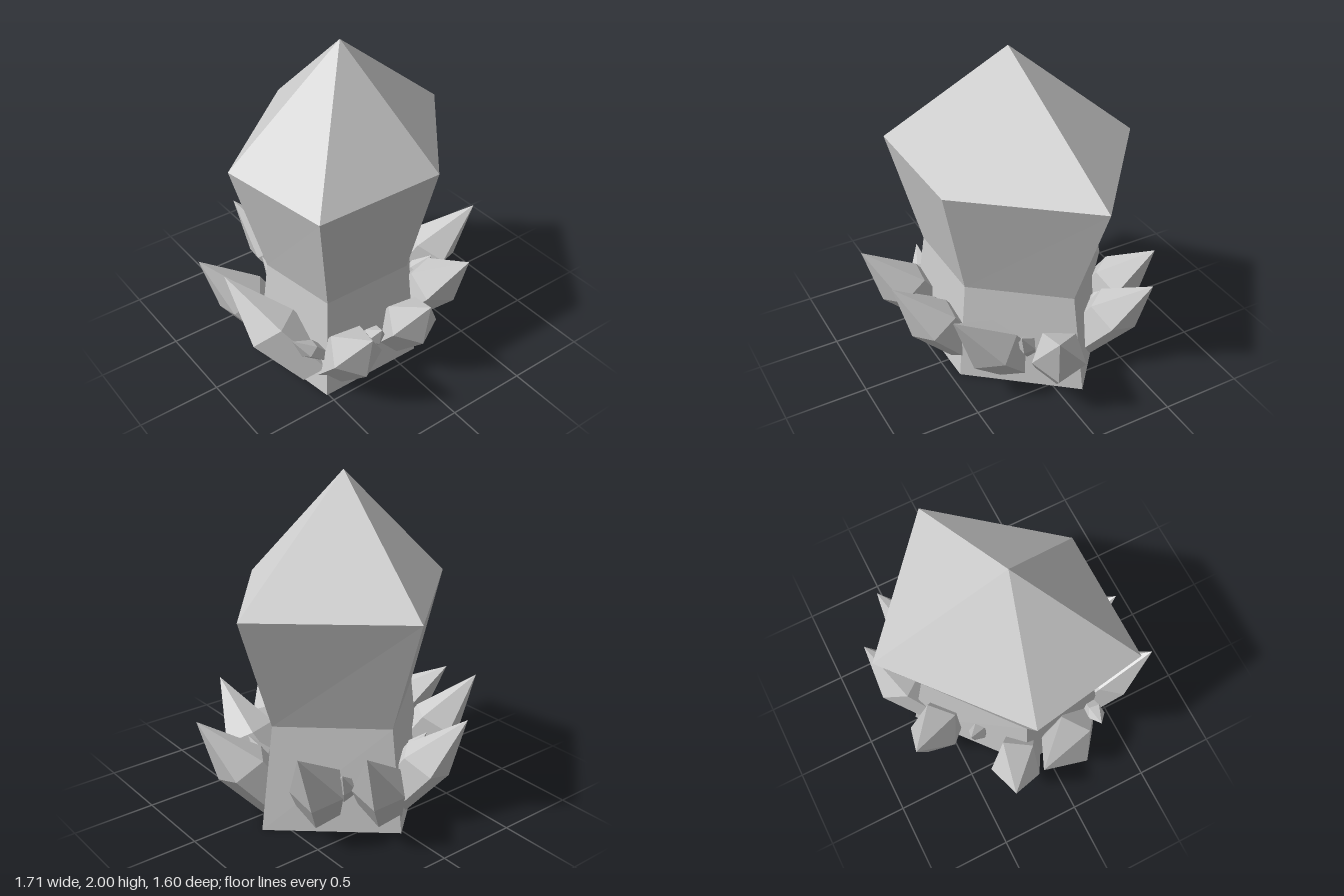
import * as THREE from 'three';

const SIDES = 5;
const V = (x, y, z) => new THREE.Vector3(x, y, z);

// Skin a stack of five-point rings, bottom to top, closing both ends on a point.
function loft(bottom, rings, top) {
  const pos = [];
  const tri = (...pts) => pts.forEach((p) => pos.push(p.x, p.y, p.z));
  const last = rings[rings.length - 1];
  for (let i = 0; i < SIDES; i++) {
    const j = (i + 1) % SIDES;
    tri(bottom, rings[0][j], rings[0][i]);
    for (let k = 0; k < rings.length - 1; k++) {
      const a = rings[k], b = rings[k + 1];
      tri(a[i], a[j], b[j]);
      tri(a[i], b[j], b[i]);
    }
    tri(last[i], last[j], top);
  }
  const geo = new THREE.BufferGeometry();
  geo.setAttribute('position', new THREE.Float32BufferAttribute(pos, 3));
  geo.computeVertexNormals();
  return geo;
}

// Five-sided shard: a pointed tip above a belt, and a tapering shaft that sinks into
// the main crystal. The foot is where the shaft's outer edge enters the crystal.
function shardGeometry(foot, tip, sway) {
  const axis = tip.clone().sub(foot);
  const length = axis.length();
  const dir = axis.clone().normalize();
  const flat = V(axis.x, 0, axis.z).normalize();
  const out = flat.clone().addScaledVector(dir, -flat.dot(dir)).normalize();
  const side = dir.clone().cross(out);
  const radius = 0.225 * length;
  const ring = (centre, r) => Array.from({ length: SIDES }, (_, i) => {
    const a = (i / SIDES) * Math.PI * 2;
    return centre.clone()
      .addScaledVector(out, Math.cos(a) * r)
      .addScaledVector(side, Math.sin(a) * r);
  });
  const beltCentre = foot.clone().addScaledVector(axis, 0.48)
    .addScaledVector(flat, -0.08 * length)
    .addScaledVector(side, sway * length);
  beltCentre.y += 0.047 * length;
  const belt = ring(beltCentre, radius);
  const rootRadius = 0.8 * radius;
  const rootCentre = belt[0].clone().lerp(foot, 1.03).addScaledVector(out, -rootRadius);
  return loft(rootCentre, [ring(rootCentre, rootRadius), belt], tip);
}

export function createModel() {
  const group = new THREE.Group();
  const stone = new THREE.MeshStandardMaterial({ color: 0xcccccc });
  stone.name = 'paleGreyStone';
  const add = (name, geo) => {
    const mesh = new THREE.Mesh(geo, stone);
    mesh.name = name;
    group.add(mesh);
  };

  // Main crystal: flared foot, narrow waist, wide shoulder and off-centre peak
  const level = (y, pts) => pts.map(([x, z]) => V(x, y, z));
  add('mainCrystal', loft(V(0, 0, 0), [
    level(0, [[-0.605, -0.14], [-0.51, 0.445], [0.155, 0.445], [0.63, -0.14], [0.02, -0.665]]),
    level(0.63, [[-0.53, -0.12], [-0.45, 0.38], [0.125, 0.38], [0.53, -0.12], [0.02, -0.57]]),
    level(1.325, [[-0.715, -0.17], [-0.6, 0.535], [0.2, 0.535], [0.77, -0.17], [0.03, -0.8]]),
  ], V(-0.065, 2, -0.015)));

  // Large shards: foot, tip, sideways sway of the belt
  [
    [[-0.40, 0.04, 0.44], [-0.45, 0.655, 0.795], 0.035],
    [[0.02, 0.05, 0.44], [-0.025, 0.655, 0.775], 0.037],
    [[0.31, 0.03, 0.245], [0.42, 0.655, 0.60], 0.06],
    [[0.53, 0.015, -0.02], [0.85, 0.645, 0.17], 0.007],
    [[0.40, 0.03, -0.35], [0.68, 0.655, -0.565], 0.065],
    [[0.12, 0.04, -0.58], [0.39, 0.655, -0.785], 0.035],
    [[-0.13, 0.03, -0.53], [-0.36, 0.655, -0.78], 0.014],
    [[-0.56, 0.04, -0.17], [-0.855, 0.655, -0.36], -0.03],
    [[-0.55, 0.05, 0.20], [-0.805, 0.655, -0.15], 0.05],
  ].forEach(([foot, tip, sway]) => add('largeShard', shardGeometry(V(...foot), V(...tip), sway)));

  // Small shards between them
  [
    [[-0.185, 0.19, 0.43], [-0.2, 0.43, 0.565]],
    [[0.40, 0.19, 0.115], [0.485, 0.43, 0.20]],
    [[0.26, 0.19, -0.435], [0.35, 0.43, -0.53]],
    [[-0.31, 0.19, -0.345], [-0.38, 0.43, -0.43]],
    [[-0.52, 0.23, 0.36], [-0.67, 0.435, 0.34]],
  ].forEach(([foot, tip]) => add('smallShard', shardGeometry(V(...foot), V(...tip), 0.03)));

  return group;
}
